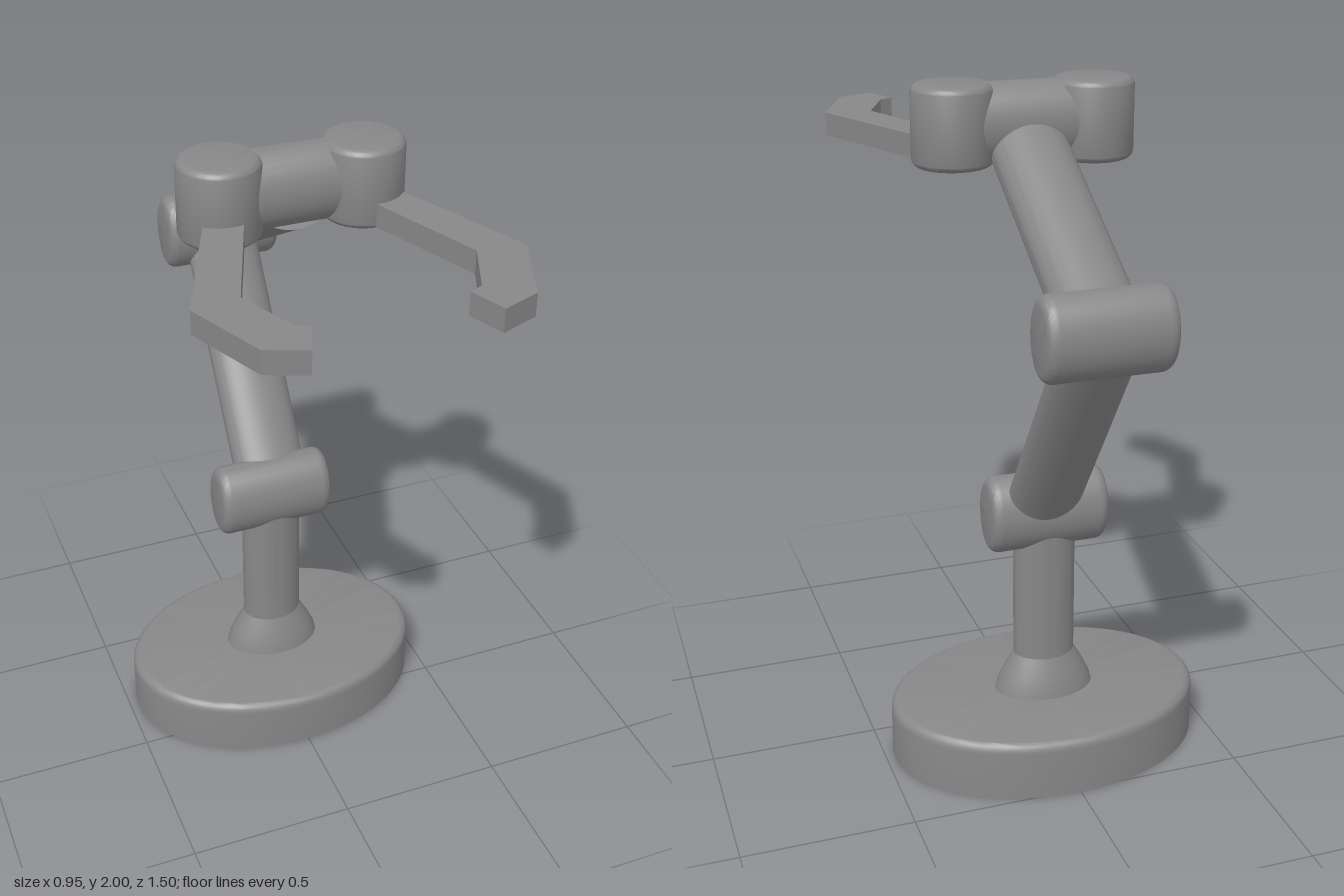
import * as THREE from 'three';
import { toCreasedNormals } from 'three/addons/utils/BufferGeometryUtils.js';

const material = new THREE.MeshStandardMaterial({ color: 0x878787 });

function addMesh(group, name, geometry, position = [0, 0, 0]) {
  const mesh = new THREE.Mesh(geometry, material);
  mesh.name = name;
  mesh.position.set(...position);
  group.add(mesh);
  return mesh;
}

// Upright solid of unit radius, with optional rounded rims, squashed to an ellipse.
function drum(rx, height, rz, topBevel = 0, bottomBevel = 0) {
  const points = [new THREE.Vector2(0, -height / 2)];
  const rim = (bevel, side) => {
    const steps = bevel ? 6 : 0;
    for (let i = 0; i <= steps; i++) {
      const t = steps ? (i / steps) * Math.PI / 2 : 0;
      const a = side > 0 ? t : Math.PI / 2 - t;
      points.push(new THREE.Vector2(
        1 - (bevel / rx) * (1 - Math.cos(a)),
        side * (height / 2 - bevel * (1 - Math.sin(a)))
      ));
    }
  };
  rim(bottomBevel, -1);
  rim(topBevel, 1);
  points.push(new THREE.Vector2(0, height / 2));
  return toCreasedNormals(new THREE.LatheGeometry(points, 64).scale(rx, 1, rz), 0.6);
}

// Elliptical link between two points in the y-z plane.
function addLink(group, name, x, from, to, rx, r) {
  const dy = to[0] - from[0], dz = to[1] - from[1];
  const link = addMesh(group, name, drum(rx, Math.hypot(dy, dz), r),
    [x, (from[0] + to[0]) / 2, (from[1] + to[1]) / 2]);
  link.rotation.x = Math.atan2(dz, dy);
}

// Rounded joint lying along x.
function addJoint(group, name, [x, y, z], length, ry, rz, bevel) {
  addMesh(group, name, drum(ry, length, rz, bevel, bevel).rotateZ(Math.PI / 2), [x, y, z]);
}

export function createModel() {
  const group = new THREE.Group();
  const baseZ = -0.172;

  // Oval base, flared collar and column
  addMesh(group, 'base', drum(0.474, 0.178, 0.343, 0.03), [0, 0.089, baseZ]);
  const flare = [[0, 0], [1.63, 0], [1.55, 0.03], [1.38, 0.065], [1.18, 0.1], [1, 0.13], [0, 0.13]]
    .map(([x, y]) => new THREE.Vector2(x, y));
  addMesh(group, 'collar',
    toCreasedNormals(new THREE.LatheGeometry(flare, 64).scale(0.094, 1, 0.066), 0.6),
    [0, 0.17, baseZ]);
  addMesh(group, 'column', drum(0.094, 0.5, 0.068), [0, 0.52, baseZ]);

  // Arm links and the joints between them
  const shoulder = [0.77, -0.173], elbow = [1.47, -0.664];
  addJoint(group, 'shoulderJoint', [0, ...shoulder], 0.355, 0.117, 0.084, 0.03);
  addLink(group, 'lowerArm', 0.012, shoulder, elbow, 0.113, 0.069);
  addJoint(group, 'elbowJoint', [0.012, ...elbow], 0.354, 0.117, 0.085, 0.03);
  addLink(group, 'upperArm', 0.012, elbow, [1.845, -0.018], 0.113, 0.085);
  addJoint(group, 'wristBar', [0.01, 1.886, -0.022], 0.36, 0.113, 0.086, 0.02);

  // Gripper: a knuckle and a bent claw on each side
  const claw = [[0.28, 0], [0.31, 0.07], [0.47, 0.459], [0.376, 0.692], [0.267, 0.735],
    [0.226, 0.63], [0.265, 0.612], [0.336, 0.443], [0.205, 0.1], [0.165, 0]];
  for (const side of [1, -1]) {
    const label = side > 0 ? 'left' : 'right';
    const shift = side > 0 ? 0 : 0.013;
    addMesh(group, label + 'Knuckle', drum(0.116, 0.228, 0.116, 0.024, 0.024),
      [0.01 + side * 0.204, 1.885, side > 0 ? -0.009 : -0.018]);
    const shape = new THREE.Shape(claw.map(([x, z]) =>
      new THREE.Vector2(side > 0 ? x : 0.033 - x, z + shift)));
    const finger = new THREE.ExtrudeGeometry(shape, { depth: 0.067, bevelEnabled: false });
    finger.rotateX(Math.PI / 2);
    addMesh(group, label + 'Claw', finger, [0, 1.849, 0]);
  }
  return group;
}
